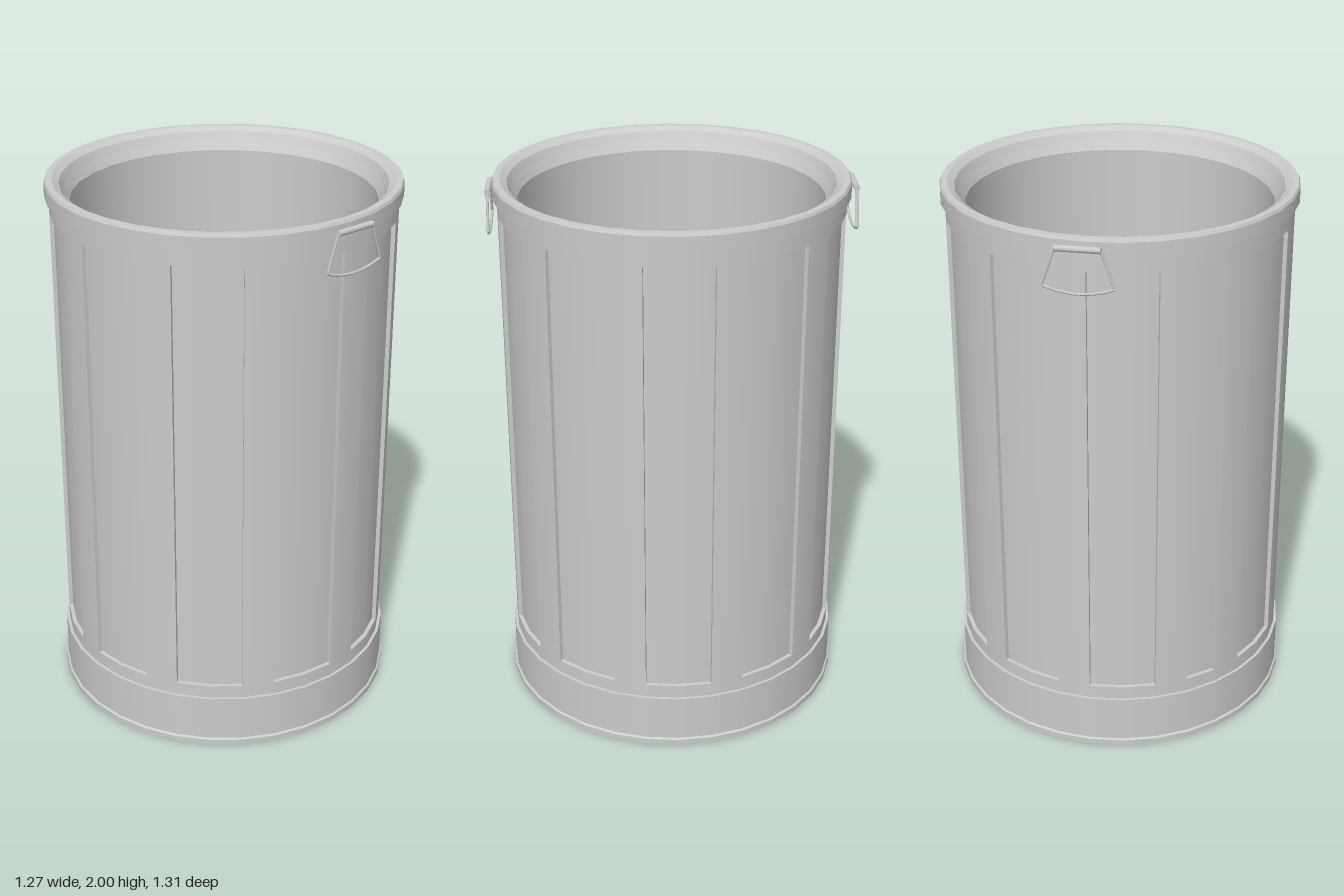
import * as THREE from 'three';
import { mergeGeometries } from 'three/addons/utils/BufferGeometryUtils.js';

const SEG = 32;
const STEP = (Math.PI * 2) / SEG;
const FIRST = -11;                       // segment where the panel rhythm starts
const R_RIB = 0.617, R_PANEL = 0.602;    // raised and recessed radii
const Y0 = 0.25, Y1 = 1.88;              // panel bottom and top

const grey = new THREE.MeshStandardMaterial({ color: 0xcccccc });
const greyDouble = new THREE.MeshStandardMaterial({ color: 0xcccccc, side: THREE.DoubleSide });

// Turned surface, smooth around and creased at every profile point
function turned(points, start = 0, count = SEG) {
  const bands = [];
  for (let i = 0; i + 1 < points.length; i++) {
    const pair = [points[i], points[i + 1]].map(([r, y]) => new THREE.Vector2(r, y));
    bands.push(new THREE.LatheGeometry(pair, count, start * STEP, count * STEP));
  }
  return mergeGeometries(bands);
}

function add(parent, name, geometry, material = grey) {
  const mesh = new THREE.Mesh(geometry, material);
  mesh.name = name;
  parent.add(mesh);
  return mesh;
}

// Small upright wall between a rib and a panel
function stepWall(segment) {
  const g = new THREE.PlaneGeometry(R_RIB - R_PANEL, Y1 - Y0);
  g.translate((R_RIB + R_PANEL) / 2, (Y0 + Y1) / 2, 0);
  return g.rotateY(segment * STEP - Math.PI / 2);
}

function sideWall() {
  const ribs = [], panels = [], steps = [];
  const rib = [[R_RIB, Y0], [R_RIB, Y1]];
  const panel = [[R_RIB, Y0], [R_PANEL, Y0], [R_PANEL, Y1], [R_RIB, Y1]];
  // Ten panels two segments wide, then a narrow one that closes the round
  for (let i = 0; i < SEG; i += 3) {
    const width = i === 30 ? 1 : 2;
    const start = FIRST + i;
    panels.push(turned(panel, start, width));
    ribs.push(turned(rib, start + width, 1));
    steps.push(stepWall(start), stepWall(start + width));
  }
  const group = new THREE.Group();
  group.name = 'sideWall';
  add(group, 'ribs', mergeGeometries(ribs));
  add(group, 'recessedPanels', mergeGeometries(panels));
  add(group, 'panelSteps', mergeGeometries(steps), greyDouble);
  add(group, 'lowerWallBand', turned([[R_RIB, 0.2], [R_RIB, Y0]]));
  add(group, 'upperWallBand', turned([[R_RIB, Y1], [R_RIB, 1.94]]));
  return group;
}

// Hinge barrel with a hanging wire bail
function handle(name, z) {
  const group = new THREE.Group();
  group.name = name;
  const barrel = new THREE.CylinderGeometry(0.011, 0.011, 0.152, 10).rotateZ(Math.PI / 2);
  add(group, 'handleHinge', barrel).position.set(0.02, 1.967, 0);

  const v = (x, y) => new THREE.Vector3(x, y, 0);
  const path = new THREE.CurvePath();
  path.add(new THREE.LineCurve3(v(-0.057, 1.965), v(-0.1, 1.838)));
  path.add(new THREE.QuadraticBezierCurve3(v(-0.1, 1.838), v(0.02, 1.79), v(0.14, 1.838)));
  path.add(new THREE.LineCurve3(v(0.14, 1.838), v(0.097, 1.965)));
  add(group, 'handleBail', new THREE.TubeGeometry(path, 48, 0.005, 6));
  group.position.z = z;
  return group;
}

export function createModel() {
  const model = new THREE.Group();
  model.name = 'trashCan';

  // Foot flange, base band and underside
  add(model, 'base', turned([
    [0, 0], [0.635, 0], [0.635, 0.02], [0.628, 0.025], [0.628, 0.2], [R_RIB, 0.2],
  ]));

  model.add(sideWall());

  // Rim collar with a funnel-shaped inner lip
  add(model, 'rim', turned([
    [R_RIB, 1.94], [0.632, 1.94], [0.632, 1.99], [0.627, 2], [0.605, 2],
    [0.58, 1.985], [0.565, 1.955], [0.545, 1.92],
  ]));

  // Inner wall and floor
  add(model, 'innerWall', turned([[0.545, 1.92], [0.542, 0.03]]));
  add(model, 'floor', turned([[0.542, 0.03], [0, 0.03]]));

  model.add(handle('frontHandle', 0.642), handle('backHandle', -0.642));
  return model;
}
